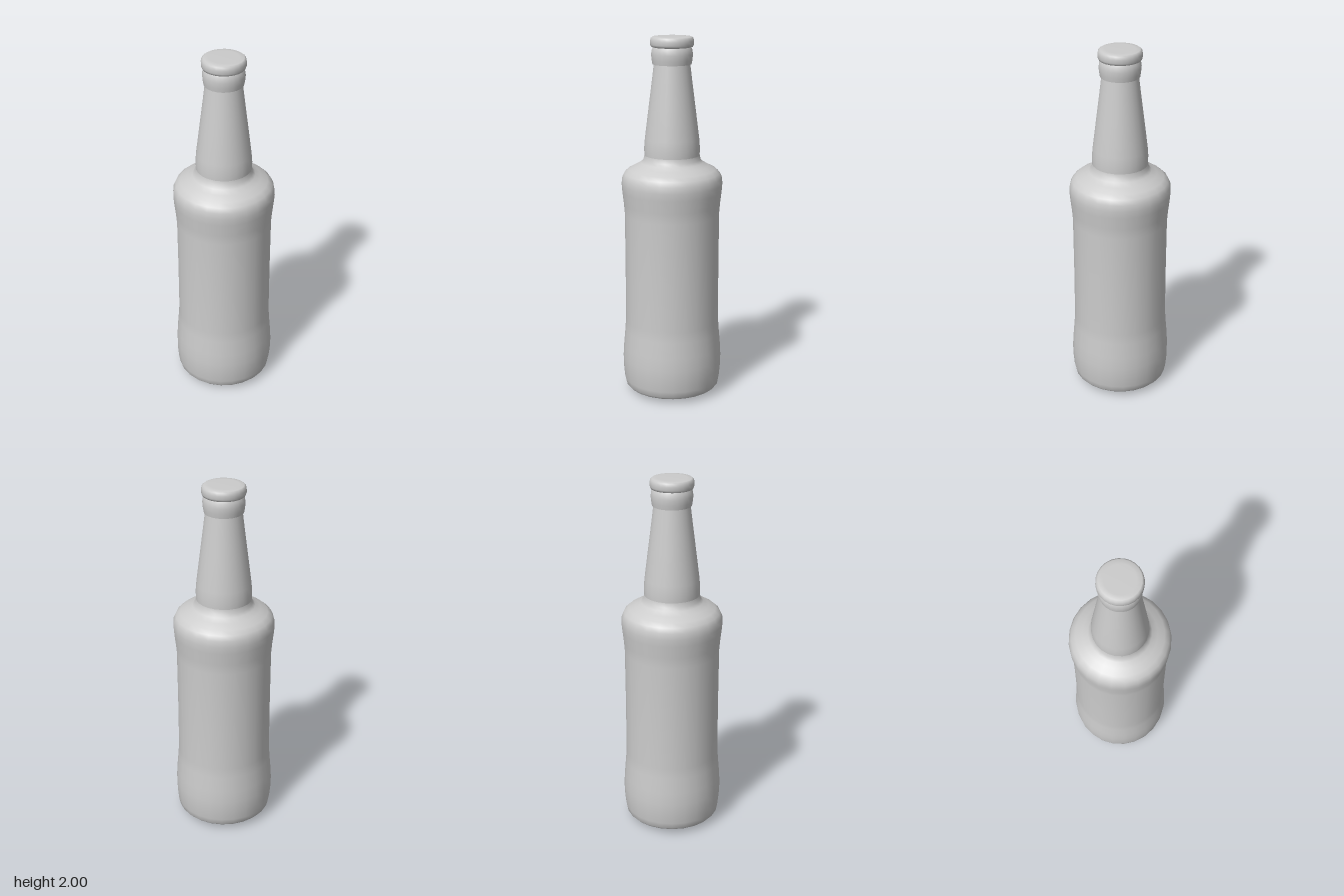
import * as THREE from 'three';

const SIDES = 24;
const material = new THREE.MeshStandardMaterial({ color: 0xcccccc, side: THREE.DoubleSide });

// Revolve a profile of [radius, height] pairs, listed from bottom to top
function turned(name, profile) {
  const points = profile.map(([r, y]) => new THREE.Vector2(r, y));
  const mesh = new THREE.Mesh(new THREE.LatheGeometry(points, SIDES), material);
  mesh.name = name;
  return mesh;
}

export function createModel() {
  const bottle = new THREE.Group();
  bottle.name = 'bottle';

  // Shallow domed underside
  bottle.add(turned('base', [[0, 0], [0.15, 0.006], [0.225, 0.017], [0.25, 0.028]]));

  // Body with swollen foot, recessed label panel and rounded shoulder
  bottle.add(turned('body', [
    [0.25, 0.028], [0.263, 0.042], [0.27, 0.075], [0.276, 0.14], [0.277, 0.2],
    [0.273, 0.27], [0.265, 0.36], [0.261, 0.42], [0.26, 0.72], [0.261, 1.03],
    [0.266, 1.09], [0.274, 1.16], [0.277, 1.2], [0.274, 1.235], [0.262, 1.262],
    [0.238, 1.283], [0.2, 1.302], [0.17, 1.32], [0.156, 1.336], [0.151, 1.36],
  ]));

  // Tapering neck
  bottle.add(turned('neck', [
    [0.151, 1.36], [0.152, 1.4], [0.148, 1.45], [0.128, 1.61], [0.109, 1.76], [0.097, 1.86],
  ]));

  // Collar ring below the cap
  bottle.add(turned('collarUnderside', [[0.09, 1.852], [0.105, 1.852]]));
  bottle.add(turned('collar', [
    [0.105, 1.852], [0.109, 1.875], [0.112, 1.905], [0.108, 1.93], [0.1, 1.945],
  ]));

  // Closed cap with a rounded rim
  bottle.add(turned('cap', [
    [0.1, 1.942], [0.112, 1.945], [0.117, 1.957], [0.117, 1.975], [0.114, 1.991],
    [0.105, 1.998], [0.08, 2], [0, 2],
  ]));

  return bottle;
}
